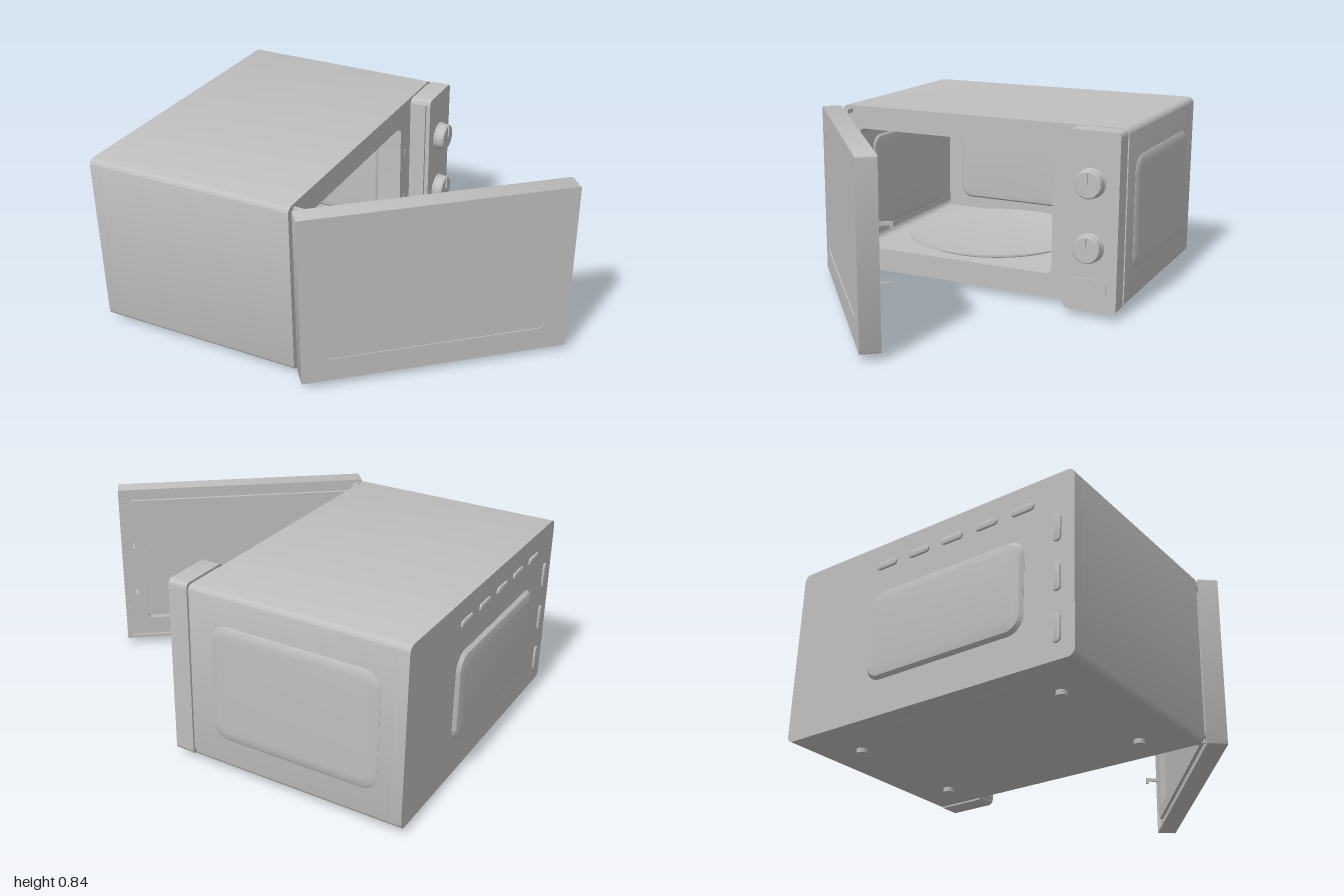
import * as THREE from 'three';
import { toCreasedNormals } from 'three/addons/utils/BufferGeometryUtils.js';

const grey = new THREE.MeshStandardMaterial({ color: 0xc0c0c0 });
grey.name = 'light grey';

// Rounded rectangle between two corners
function roundRect(x0, y0, x1, y1, r, Type = THREE.Shape) {
  const s = new Type();
  s.absarc(x1 - r, y1 - r, r, 0, Math.PI / 2);
  s.absarc(x0 + r, y1 - r, r, Math.PI / 2, Math.PI);
  s.absarc(x0 + r, y0 + r, r, Math.PI, Math.PI * 1.5);
  s.absarc(x1 - r, y0 + r, r, Math.PI * 1.5, Math.PI * 2);
  s.closePath();
  return s;
}

function add(parent, name, geometry, x = 0, y = 0, z = 0) {
  const m = new THREE.Mesh(geometry, grey);
  m.name = name;
  m.position.set(x, y, z);
  parent.add(m);
  return m;
}

// Slab from an outline [x0, y0, x1, y1, radius], with optional holes
function slab(outline, depth, holes = []) {
  const s = roundRect(...outline);
  holes.forEach(h => s.holes.push(roundRect(...h, THREE.Path)));
  return toCreasedNormals(
    new THREE.ExtrudeGeometry(s, { depth, bevelEnabled: false, curveSegments: 6 }), 0.6);
}

// Pressed panel with sloping edges, rising from z = 0
function pressed(x0, y0, x1, y1, r, slope, rise) {
  const s = roundRect(x0 + slope, y0 + slope, x1 - slope, y1 - slope, r);
  const g = new THREE.ExtrudeGeometry(s, {
    depth: 0.001, bevelSize: slope, bevelThickness: rise, bevelSegments: 2, curveSegments: 6,
  });
  return toCreasedNormals(g, 0.5);
}

const box = (w, h, d) => new THREE.BoxGeometry(w, h, d);

export function createModel() {
  const model = new THREE.Group();
  model.name = 'microwaveOven';

  // Everything drawn facing +x: local x runs along -z, local z along +x
  const face = new THREE.Group();
  face.name = 'cabinet';
  face.rotation.y = Math.PI / 2;
  model.add(face);

  const outer = [-0.69, 0.03, 0.76, 0.84, 0.03];
  const opening = [-0.6, 0.14, 0.41, 0.73, 0.03];
  add(face, 'cabinetShell', slab(outer, 0.93, [opening]), 0, 0, -0.93);
  add(face, 'cabinetBack', slab(outer, 0.05), 0, 0, -0.98);
  add(face, 'cavityBackPressing', pressed(-0.52, 0.2, 0.34, 0.68, 0.03, 0.03, 0.012), 0, 0, -0.93);

  // Latch slots on the front flange
  for (const y of [0.315, 0.565])
    add(face, 'latchSlot', slab([0.458, y - 0.025, 0.47, y + 0.025, 0.003], 0.003));

  // Control panel
  add(face, 'panelSpacer', slab([0.52, 0.04, 0.75, 0.83, 0.025], 0.016));
  add(face, 'controlPanel', slab([0.512, 0.03, 0.76, 0.84, 0.022], 0.09), 0, 0, 0.016);
  add(face, 'panelFlange', box(0.012, 0.77, 0.07), 0.506, 0.435, 0.051);
  add(face, 'doorButton', slab([0.553, 0.092, 0.713, 0.18, 0.01], 0.005), 0, 0, 0.105);
  for (const y of [0.323, 0.612]) {
    const knob = new THREE.Group();
    knob.name = 'knob';
    knob.position.set(0.632, y, 0.106);
    face.add(knob);
    const profile = [[0, 0], [0.067, 0], [0.067, 0.008], [0.064, 0.012], [0.062, 0.044], [0.057, 0.05], [0, 0.05]];
    const g = new THREE.LatheGeometry(profile.map(p => new THREE.Vector2(...p)), 40);
    add(knob, 'knobBody', toCreasedNormals(g, 0.5)).rotation.x = Math.PI / 2;
    add(knob, 'knobPointer', box(0.006, 0.05, 0.01), 0, 0.03, 0.052);
  }

  // Pressings on the cavity side walls
  const wall = add(model, 'cavityLeftPressing', pressed(0.12, 0.2, 0.83, 0.67, 0.03, 0.03, 0.01), 0, 0, 0.6);
  wall.rotation.y = Math.PI;
  add(model, 'cavityRightPressing', pressed(-0.83, 0.2, -0.12, 0.67, 0.03, 0.03, 0.01), 0, 0, -0.41);

  // Turntable
  const plate = [[0, 0.148], [0.36, 0.148], [0.44, 0.16], [0.44, 0.165], [0.355, 0.155], [0, 0.155]];
  const plateGeo = new THREE.LatheGeometry(plate.map(p => new THREE.Vector2(...p)), 64);
  add(model, 'turntable', toCreasedNormals(plateGeo, 0.5), -0.47, 0, 0.09);
  add(model, 'turntableRing', new THREE.TorusGeometry(0.39, 0.007, 8, 48), -0.47, 0.145, 0.09)
    .rotation.x = Math.PI / 2;

  // Outside pressings on the right end and the back
  add(model, 'sidePressing', pressed(0.1, 0.17, 0.87, 0.7, 0.03, 0.045, 0.01), 0, 0, -0.76)
    .rotation.y = Math.PI;
  const back = new THREE.Group();
  back.name = 'backPanel';
  back.position.x = -0.98;
  back.rotation.y = -Math.PI / 2;
  model.add(back);
  add(back, 'backPressing', pressed(-0.33, 0.19, 0.46, 0.6, 0.03, 0.045, 0.02));

  // Back ventilation louvres
  for (let i = 0; i < 5; i++) {
    const z = -0.26 + i * 0.177;
    add(back, 'topLouvre', pressed(z - 0.055, 0.715, z + 0.055, 0.75, 0.008, 0.008, 0.008));
  }
  for (const y of [0.16, 0.375, 0.59])
    add(back, 'sideLouvre', pressed(0.595, y - 0.06, 0.63, y + 0.06, 0.008, 0.008, 0.008));

  // Underside plate and feet
  add(model, 'basePressing', pressed(-0.9, -0.67, -0.07, 0.6, 0.03, 0.06, 0.01), 0, 0.031, 0)
    .rotation.x = Math.PI / 2;
  for (const x of [-0.77, -0.2]) for (const z of [0.49, -0.53])
    add(model, 'foot', new THREE.CylinderGeometry(0.025, 0.023, 0.03, 24), x, 0.015, z);

  // Hinges
  for (const y of [0.055, 0.815]) {
    add(model, 'hingeArm', box(0.045, 0.02, 0.014), 0.02, y, 0.643);
    add(model, 'hingePin', box(0.014, 0.02, 0.04), 0.035, y, 0.658);
  }

  // Open door: local x along its width, local z toward its outer face
  const door = new THREE.Group();
  door.name = 'door';
  door.position.set(0.017, 0, 0.691);
  door.rotation.y = 0.694;
  model.add(door);
  const edge = [0, 0.032, 1.203, 0.838, 0.008];
  const glass = [0.108, 0.143, 1.09, 0.718, 0.02];
  add(door, 'doorFrame', slab(edge, 0.075, [glass]), 0, 0, 0.015);
  add(door, 'doorRim', slab(edge, 0.015, [[0.015, 0.047, 1.188, 0.823, 0.006]]));
  add(door, 'doorInnerFrame', slab([0.05, 0.085, 1.15, 0.78, 0.02], 0.015, [glass]));
  add(door, 'doorWindow', slab(glass, 0.055), 0, 0, 0.03);

  // Door latch hooks
  for (const y of [0.3, 0.55]) {
    add(door, 'latchArm', box(0.008, 0.016, 0.08), 1.14, y, -0.025);
    add(door, 'latchTip', box(0.008, 0.025, 0.014), 1.14, y - 0.008, -0.058);
  }
  return model;
}
